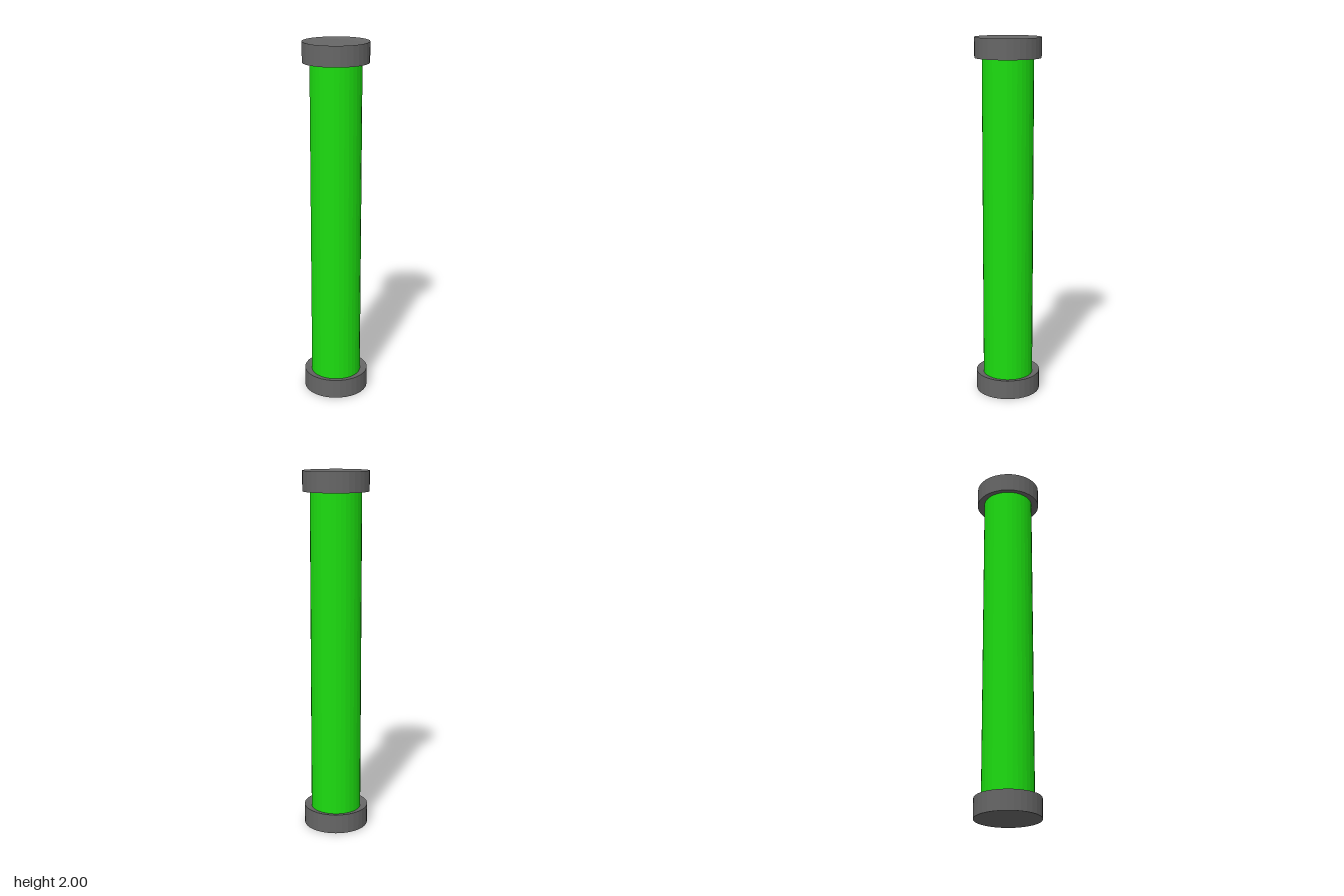
import * as THREE from 'three';

const SIDES = 32, CAP_R = 0.18, TUBE_R = 0.14, CAP_H = 0.11, DISH = 0.01;

export function createModel() {
  const model = new THREE.Group();
  model.name = 'glowTube';

  const capMaterial = new THREE.MeshStandardMaterial({ color: 0x666666, flatShading: true });
  const tubeMaterial = new THREE.MeshStandardMaterial({ color: 0x1cdc10, flatShading: true });

  // End cap: both faces are shallow dishes sloping in to the tube radius
  const profile = [
    [0, DISH], [TUBE_R, DISH], [CAP_R, 0],
    [CAP_R, CAP_H], [TUBE_R, CAP_H - DISH], [0, CAP_H - DISH],
  ].map(([r, y]) => new THREE.Vector2(r, y));
  const capGeometry = new THREE.LatheGeometry(profile, SIDES);

  for (const [name, y] of [['bottomCap', 0], ['topCap', 2 - CAP_H]]) {
    const cap = new THREE.Mesh(capGeometry, capMaterial);
    cap.name = name;
    cap.position.y = y;
    model.add(cap);
  }

  // Long tube between the dished inner faces of the caps
  const tubeHeight = 2 - 2 * (CAP_H - DISH);
  const tube = new THREE.Mesh(
    new THREE.CylinderGeometry(TUBE_R, TUBE_R, tubeHeight, SIDES, 1, true), tubeMaterial);
  tube.name = 'tube';
  tube.position.y = 1;
  model.add(tube);

  return model;
}
